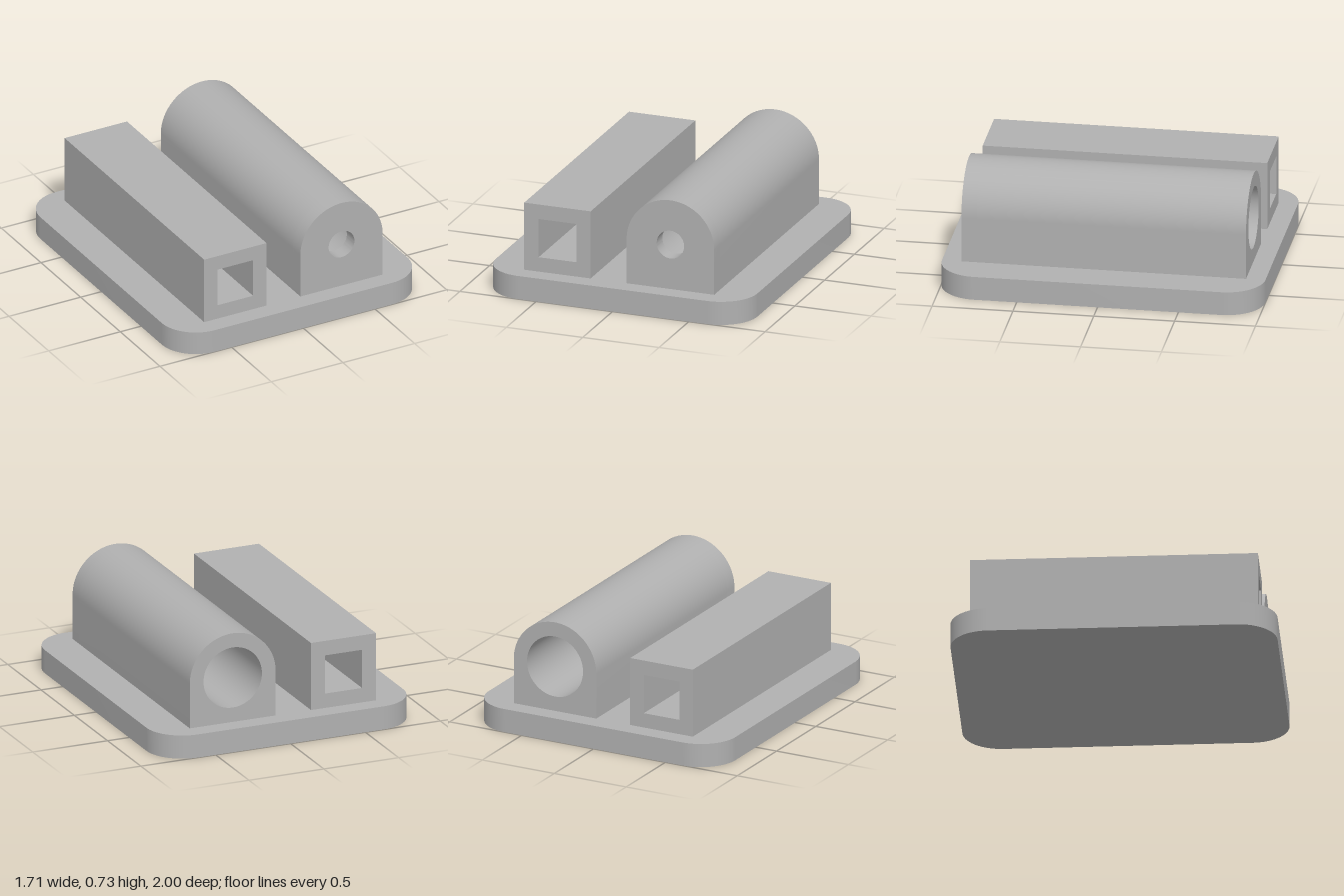
import * as THREE from 'three';
import { toCreasedNormals } from 'three/addons/utils/BufferGeometryUtils.js';

const grey = new THREE.MeshStandardMaterial({ color: 0xb0b0b0 });
grey.name = 'grey';

// Rectangle outline, optionally with rounded corners
function rectangle(x0, y0, x1, y1, r = 0, Type = THREE.Shape) {
  const s = new Type();
  s.moveTo(x0 + r, y0);
  s.lineTo(x1 - r, y0);
  if (r) s.absarc(x1 - r, y0 + r, r, -Math.PI / 2, 0);
  s.lineTo(x1, y1 - r);
  if (r) s.absarc(x1 - r, y1 - r, r, 0, Math.PI / 2);
  s.lineTo(x0 + r, y1);
  if (r) s.absarc(x0 + r, y1 - r, r, Math.PI / 2, Math.PI);
  s.lineTo(x0, y0 + r);
  if (r) s.absarc(x0 + r, y0 + r, r, Math.PI, Math.PI * 1.5);
  return s;
}

// Extrusion from z0 to z1 with smooth curves and sharp edges
function extrude(name, shape, z0, z1) {
  const raw = new THREE.ExtrudeGeometry(shape, { depth: z1 - z0, bevelEnabled: false, curveSegments: 32 });
  const mesh = new THREE.Mesh(toCreasedNormals(raw, 0.5), grey);
  mesh.geometry.translate(0, 0, z0);
  mesh.name = name;
  return mesh;
}

// Arched section with a round hole
function archSection(holeRadius) {
  const cx = 0.333, cy = 0.438, r = 0.287, bottom = 0.15;
  const s = new THREE.Shape();
  s.moveTo(cx - r, bottom);
  s.lineTo(cx + r, bottom);
  s.lineTo(cx + r, cy);
  s.absarc(cx, cy, r, 0, Math.PI);
  s.lineTo(cx - r, bottom);
  s.holes.push(new THREE.Path().absarc(cx, cy, holeRadius, 0, Math.PI * 2, true));
  return s;
}

export function createModel() {
  const model = new THREE.Group();
  model.name = 'mountingBlock';
  const end = 0.88;

  // Rounded base plate
  const base = extrude('basePlate', rectangle(-0.857, -1, 0.857, 1, 0.238), 0, 0.15);
  base.geometry.rotateX(-Math.PI / 2);
  model.add(base);

  // Square tube, open at both ends
  const square = rectangle(-0.625, 0.15, -0.19, 0.585);
  square.holes.push(rectangle(-0.531, 0.243, -0.284, 0.491, 0, THREE.Path));
  model.add(extrude('squareTube', square, -end, end));

  // Arched housing: wide bore from the back, small hole through the front wall
  const housing = new THREE.Group();
  housing.name = 'archedHousing';
  const wall = end - 0.095;
  housing.add(
    extrude('housingBody', archSection(0.195), -end, wall),
    extrude('housingFrontWall', archSection(0.09), wall, end)
  );
  model.add(housing);

  return model;
}
